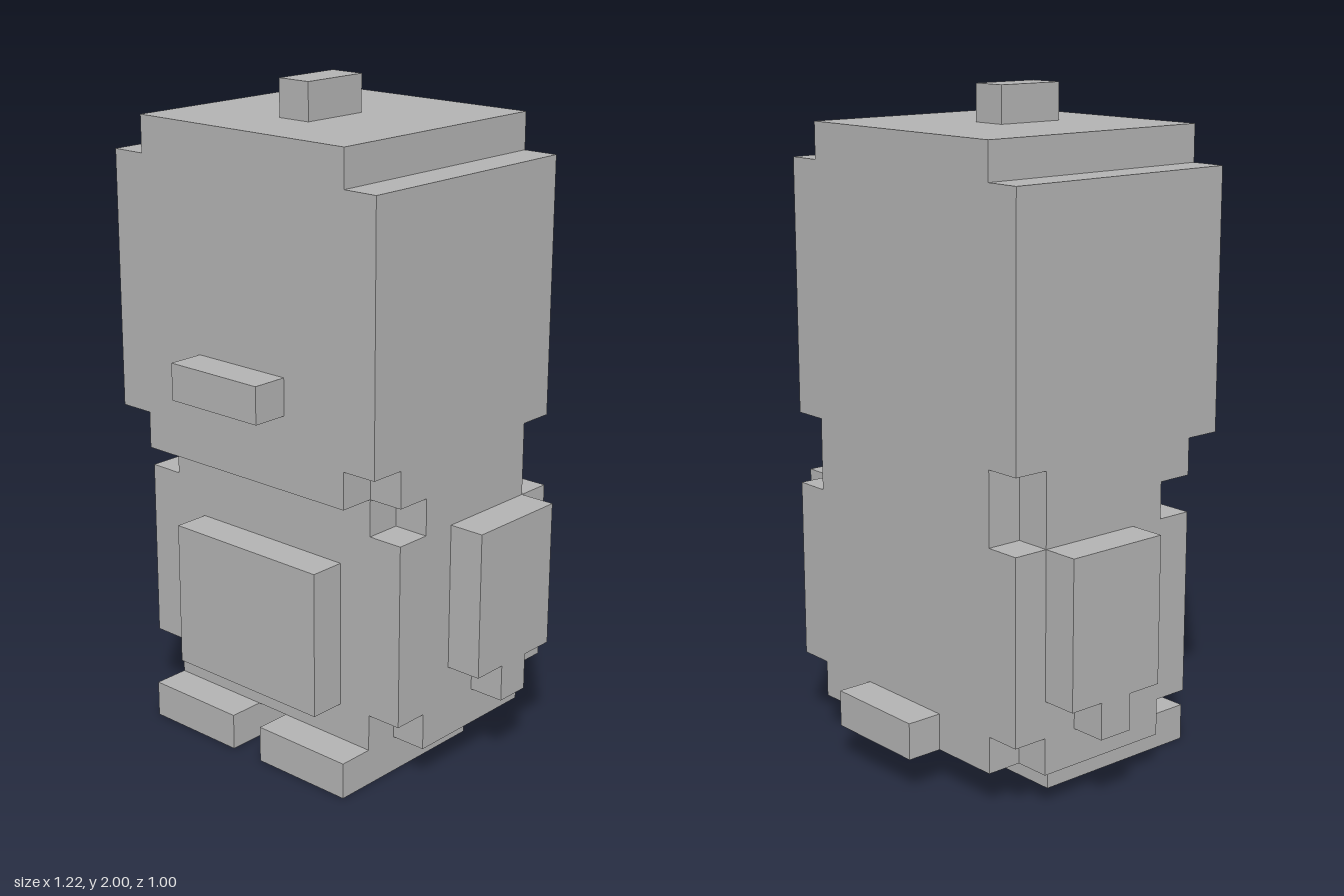
import * as THREE from 'three';

// One block of the grid the figure is built on
const U = 2 / 18;

export function createModel() {
  const model = new THREE.Group();
  model.name = 'blockFigure';
  const grey = new THREE.MeshStandardMaterial({ color: 0xb2b2b2 });
  grey.name = 'grey';

  // Box given by its ranges in blocks
  function block(name, [x0, x1], [y0, y1], [z0, z1]) {
    const geometry = new THREE.BoxGeometry((x1 - x0) * U, (y1 - y0) * U, (z1 - z0) * U);
    const mesh = new THREE.Mesh(geometry, grey);
    mesh.position.set((x0 + x1) / 2 * U, (y0 + y1) / 2 * U, (z0 + z1) / 2 * U);
    mesh.name = name;
    model.add(mesh);
  }

  // The same box on both sides
  function pair(name, [x0, x1], y, z) {
    block(name + 'Left', [x0, x1], y, z);
    block(name + 'Right', [-x1, -x0], y, z);
  }

  // Head, with stepped crown and jaw
  block('head', [-4.5, 4.5], [9, 16], [-3.5, 3.5]);
  block('crown', [-3.5, 3.5], [16, 17], [-3.5, 3.5]);
  block('topTuft', [-0.5, 0.5], [17, 18], [-0.5, 1.5]);
  block('nose', [-1.5, 1.5], [10, 11], [3.5, 4.5]);
  block('jaw', [-3.5, 3.5], [8, 9], [-3.5, 3.5]);
  pair('jawSide', [3.5, 4.5], [8, 9], [-2.5, 2.5]);

  // Body, with notched corners at neck and hips
  block('neck', [-3.5, 3.5], [7, 8], [-3.5, 2.5]);
  pair('neckSide', [3.5, 4.5], [7, 8], [-2.5, 1.5]);
  block('body', [-4.5, 4.5], [2, 7], [-3.5, 2.5]);
  block('belly', [-2.5, 2.5], [2, 6], [2.5, 3.5]);
  block('hips', [-3.5, 3.5], [1, 2], [-3.5, 2.5]);
  pair('hipSide', [3.5, 4.5], [1, 2], [-2.5, 1.5]);
  block('tail', [-1.5, 1.5], [1, 2], [-4.5, -3.5]);

  // Limbs
  pair('arm', [4.5, 5.5], [3, 7], [-2.5, 0.5]);
  pair('hand', [4.5, 5.5], [2, 3], [-1.5, -0.5]);
  pair('foot', [0.5, 3.5], [0, 1], [-1.5, 3.5]);

  return model;
}
